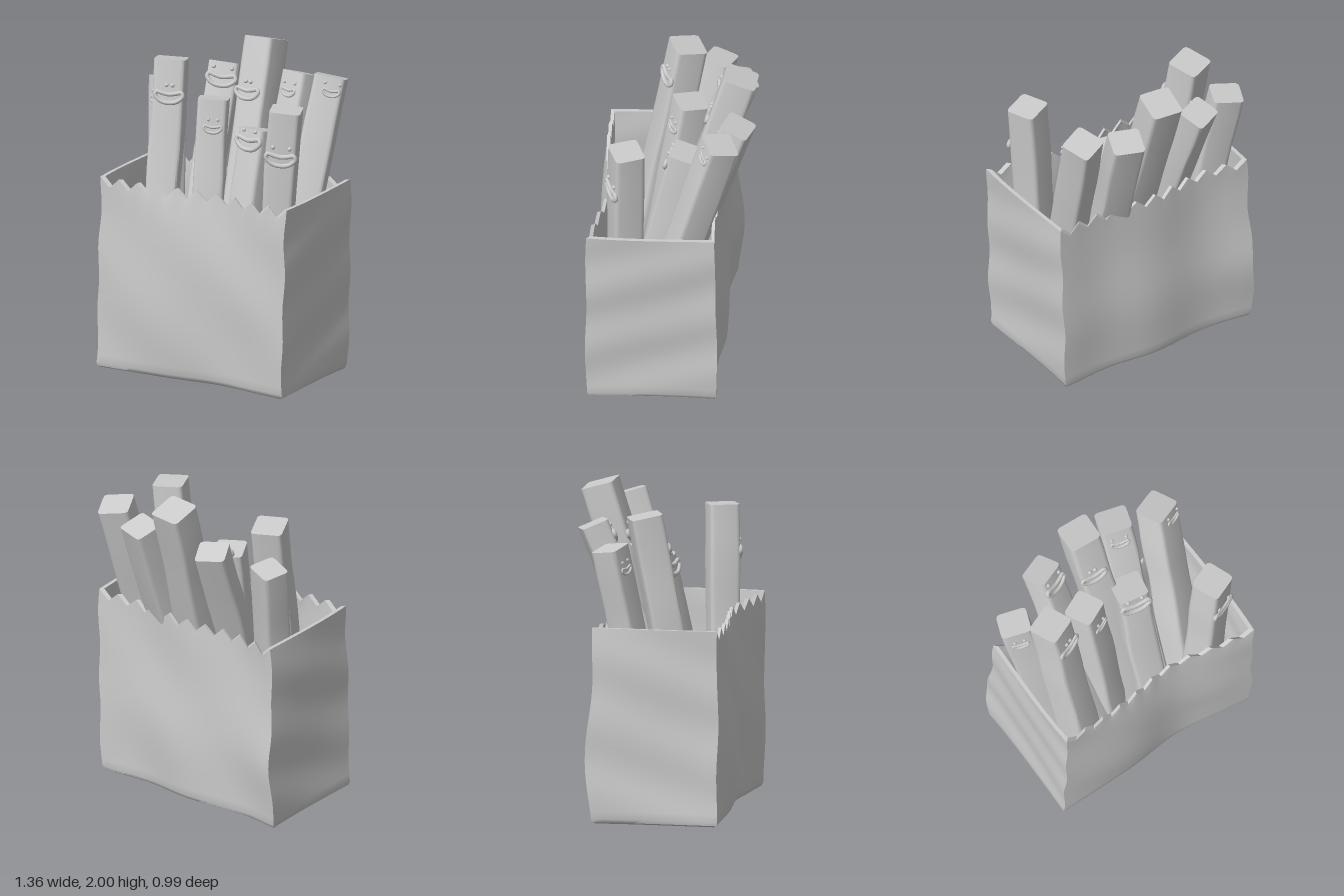
import * as THREE from 'three';
import { toCreasedNormals } from 'three/addons/utils/BufferGeometryUtils.js';

const material = new THREE.MeshStandardMaterial({ color: 0xcccccc });

function mesh(name, geometry) {
  const m = new THREE.Mesh(geometry, material);
  m.name = name;
  return m;
}

// Outer paper surface: s, t run over the footprint (-1..1), v runs up
function paperPoint(s, t, v) {
  const y = 0.04 + 1.18 * v;
  const belly = Math.sin(Math.PI * Math.min(1, v * 0.85 + 0.12));
  const x0 = s * 0.652;
  const left = Math.max(0, s), right = Math.max(0, -s);
  // Front and back sheets swell and ripple along x
  const front = 0.425 + 0.06 * left ** 2 - 0.04 * Math.exp(-(((x0 - 0.15) / 0.25) ** 2))
    + 0.048 * belly * Math.cos(x0 * 2.2) + 0.005 * Math.sin(7 * x0 + 9 * y);
  const back = -0.288 + 0.025 * left ** 2 - 0.022 * right ** 3 - 0.012 * Math.cos(9 * x0)
    - (0.02 + 0.02 * right ** 2) * Math.exp(-(((y - 0.45) / 0.3) ** 2)) + 0.005 * Math.sin(8 * x0 - 7 * y);
  const z = back + (front - back) * (t + 1) / 2;
  // Side sheets crumple with height
  const lean = 0.03 * (v - 0.5) * Math.abs(s) - 0.006 * right * (1 - t);
  const x = x0 + lean + s * (0.006 * Math.sin(15 * y + 2 * t) - 0.015 * (1 - t * t) * Math.sin(3 * y + 1));
  return [x, y, z];
}

// Open paper bag with thickness, a floor and sawtooth front and back rims
function bagGeometry() {
  const rim = [];
  const wide = 40, deep = 12, teeth = 10;
  const tooth = f => 0.06 * (1 - Math.abs(2 * ((f * teeth) % 1) - 1));
  for (let i = 0; i < wide; i++) rim.push([-1 + 2 * i / wide, 1, tooth(i / wide)]);
  for (let i = 0; i < deep; i++) rim.push([1, 1 - 2 * i / deep, 0]);
  for (let i = 0; i < wide; i++) rim.push([1 - 2 * i / wide, -1, tooth(i / wide)]);
  for (let i = 0; i < deep; i++) rim.push([-1, -1 + 2 * i / deep, 0]);

  // Rows climb the outside, cross the rim and go down the inside
  const rows = [[0, 0.022], [0.008, 0.007], [0.025, 0]];
  for (let j = 1; j <= 24; j++) rows.push([0.025 + 0.975 * j / 24, 0]);
  for (let j = 24; j >= 0; j--) rows.push([0.035 + 0.965 * j / 24, 0.022]);

  const pos = [], index = [], n = rim.length;
  for (const [v, inset] of rows) {
    for (const [s, t, cut] of rim) {
      const [x, y, z] = paperPoint(s, t, v);
      pos.push(x * (1 - inset / 0.65), y - cut * v ** 12, 0.07 + (z - 0.07) * (1 - inset / 0.38));
    }
  }
  for (let j = 0; j < rows.length - 1; j++) {
    for (let i = 0; i < n; i++) {
      const a = j * n + i, b = j * n + (i + 1) % n;
      index.push(a, b, b + n, a, b + n, a + n);
    }
  }
  // Outer and inner floors
  const under = pos.length / 3, last = (rows.length - 1) * n;
  pos.push(0, 0.04, 0.07, 0, 0.08, 0.07);
  for (let i = 0; i < n; i++) {
    const k = (i + 1) % n;
    index.push(under, k, i, last + i, last + k, under + 1);
  }
  const g = new THREE.BufferGeometry();
  g.setAttribute('position', new THREE.Float32BufferAttribute(pos, 3));
  g.setIndex(index);
  return toCreasedNormals(g, 0.65);
}

// Stick with a rounded square section and slightly uneven sides
function stickGeometry(w, d, length, seed) {
  const r = 0.026, a = w / 2, b = d / 2;
  const s = new THREE.Shape();
  s.moveTo(-a + r, -b).lineTo(a - r, -b).quadraticCurveTo(a, -b, a, -b + r);
  s.lineTo(a, b - r).quadraticCurveTo(a, b, a - r, b);
  s.lineTo(-a + r, b).quadraticCurveTo(-a, b, -a, b - r);
  s.lineTo(-a, -b + r).quadraticCurveTo(-a, -b, -a + r, -b);
  const g = new THREE.ExtrudeGeometry(s, { depth: length, steps: 14, bevelEnabled: false, curveSegments: 3 });
  g.rotateX(-Math.PI / 2);
  const p = g.attributes.position;
  for (let i = 0; i < p.count; i++) {
    const y = p.getY(i), fade = Math.min(1, (length - y) * 3);
    p.setX(i, p.getX(i) * (1 + 0.03 * fade * Math.sin(9 * y + seed)) + 0.004 * fade * Math.sin(6 * y + 2 * seed));
    p.setZ(i, p.getZ(i) * (1 + 0.02 * fade * Math.sin(8 * y + 3 * seed)));
  }
  return toCreasedNormals(g, 0.6);
}

// Smiling lips, drawn for a mouth one unit wide
const lips = [[-0.45, 0.13], [-0.25, 0.09], [0, 0.05], [0.25, 0.09], [0.45, 0.13],
  [0.5, 0], [0.3, -0.2], [0, -0.26], [-0.3, -0.2], [-0.5, 0]];

function makeFace(width, eyeGap) {
  const face = new THREE.Group();
  face.name = 'face';
  const path = new THREE.CatmullRomCurve3(lips.map(([x, y]) => new THREE.Vector3(x * width, y * width, 0)), true);
  face.add(mesh('mouth', new THREE.TubeGeometry(path, 48, width * 0.08, 8, true)));
  for (const side of [-1, 1]) {
    const eye = mesh('eye', new THREE.SphereGeometry(0.006 + width * 0.04, 12, 8));
    eye.position.set(side * eyeGap / 2, 0.03 + width * 0.2, 0);
    face.add(eye);
  }
  return face;
}

// Top centre x, height, z; bottom x, z; section w, d; yaw in degrees; mouth height, width, offset; eye gap
const sticks = [
  [-0.565, 1.69, -0.23, -0.42, 0.08, 0.185, 0.165, -21, 1.57, 0.10, 0, 0.06],
  [-0.26, 1.775, -0.385, -0.2, 0.3, 0.185, 0.165, 22, 1.71, 0.17, 0, 0.11],
  [0.02, 1.97, -0.39, 0.06, 0.2, 0.2, 0.2, -5, 1.68, 0.16, -0.02, 0.035],
  [0.27, 1.79, -0.39, 0.19, 0.18, 0.195, 0.175, -18, 1.70, 0.11, 0, 0.09],
  [0.52, 1.83, -0.3, 0.39, 0.22, 0.19, 0.185, 22, 1.77, 0.10, 0.025, 0.09],
  [-0.43, 1.865, -0.045, -0.37, 0.285, 0.19, 0.19, 22, 1.67, 0.165, 0.01, 0.035],
  [-0.16, 1.65, -0.08, -0.12, 0.18, 0.18, 0.18, 25, 1.495, 0.105, 0.01, 0.055],
  [0.16, 1.505, -0.075, 0.125, 0.265, 0.19, 0.18, -11, 1.45, 0.18, 0, 0.09],
  [0.535, 1.765, 0.255, 0.4, 0.285, 0.185, 0.18, 22, 1.49, 0.175, 0, 0.10],
];

export function createModel() {
  const model = new THREE.Group();
  model.name = 'bagOfSmilingFries';
  model.add(mesh('paperBag', bagGeometry()));

  sticks.forEach(([tx, ty, tz, bx, bz, w, d, yaw, mouthY, mouthW, mouthX, eyeGap], i) => {
    const fry = new THREE.Group();
    fry.name = 'fry' + (i + 1);
    const bottom = new THREE.Vector3(bx, 0.042, bz);
    const axis = new THREE.Vector3(tx, ty, tz).sub(bottom);
    const length = axis.length();
    axis.normalize();
    fry.position.copy(bottom);
    fry.quaternion.setFromUnitVectors(new THREE.Vector3(0, 1, 0), axis);
    fry.rotateY(THREE.MathUtils.degToRad(yaw));
    fry.add(mesh('stick', stickGeometry(w, d, length, i * 1.7)));

    // The front side sits a little lower or higher than the axis when the stick leans
    const face = makeFace(mouthW, eyeGap);
    face.position.set(mouthX, (mouthY - bottom.y) / axis.y + axis.z * d / 2, d / 2 + 0.002);
    fry.add(face);
    model.add(fry);
  });
  return model;
}
